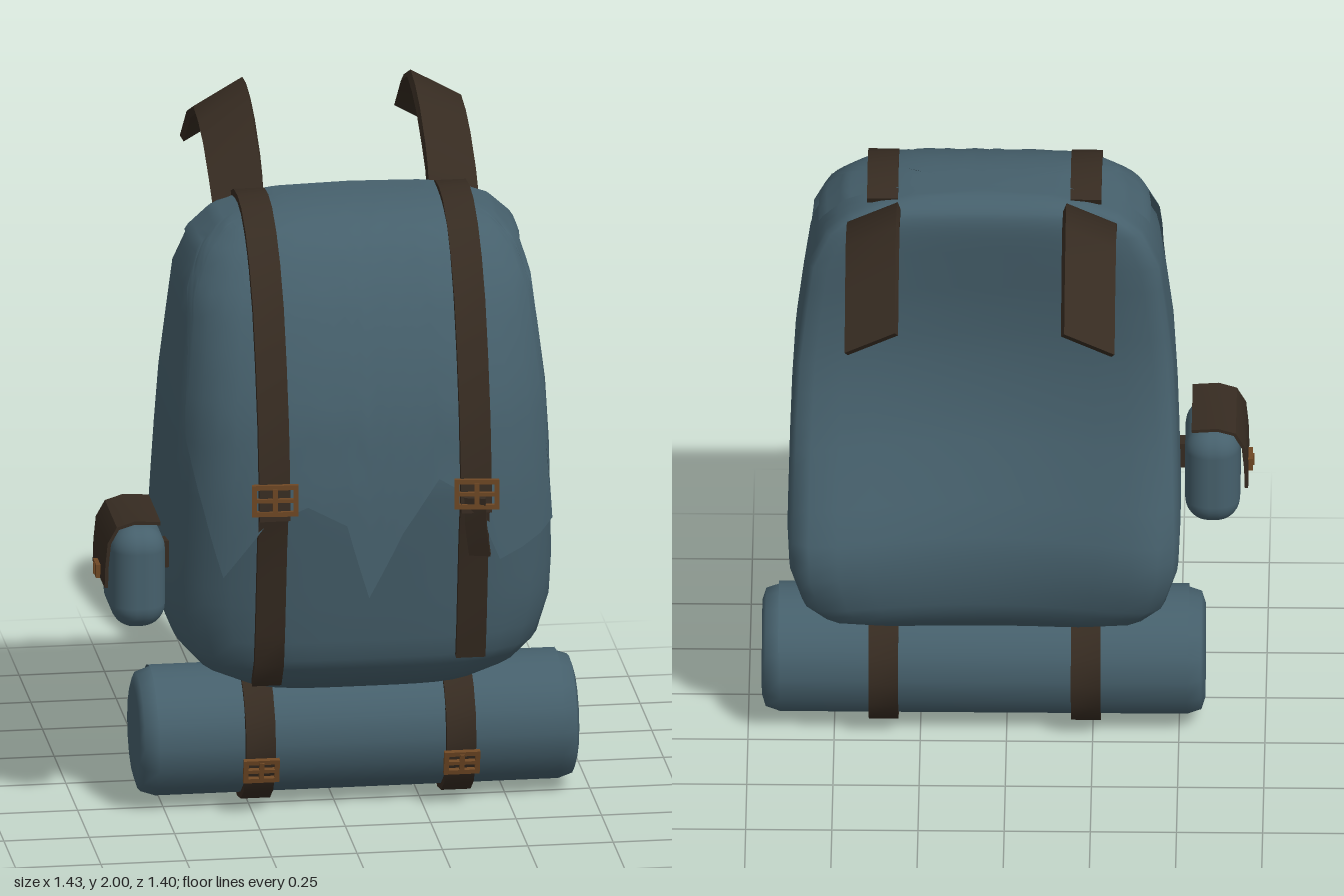
import * as THREE from 'three';
import { mergeVertices, toCreasedNormals } from 'three/addons/utils/BufferGeometryUtils.js';
import { RoundedBoxGeometry } from 'three/addons/geometries/RoundedBoxGeometry.js';

const CX = 0.065, ZC = 0.09; // axis the bag's cross-sections are built around

// bag cross-sections, bottom to top: y, back z, front z, half width, hollow of the back
const ROWS = [
  [0.37, ZC, ZC, 0, 0],
  [0.375, 0.03, 0.33, 0.25, 0],
  [0.40, -0.03, 0.42, 0.37, 0.02],
  [0.45, -0.12, 0.48, 0.47, 0.06],
  [0.52, -0.18, 0.53, 0.53, 0.09],
  [0.64, -0.225, 0.555, 0.565, 0.12],
  [0.75, -0.215, 0.575, 0.57, 0.12],
  [0.95, -0.135, 0.61, 0.565, 0.11],
  [1.10, -0.08, 0.632, 0.56, 0.10],
  [1.28, -0.035, 0.615, 0.55, 0.08],
  [1.45, -0.02, 0.567, 0.53, 0.06],
  [1.60, -0.02, 0.505, 0.51, 0.04],
  [1.71, -0.015, 0.43, 0.46, 0.02],
  [1.77, -0.005, 0.365, 0.39, 0.01],
  [1.80, 0.025, 0.28, 0.30, 0],
  [1.815, 0.06, 0.20, 0.20, 0],
  [1.82, ZC, ZC, 0, 0],
];
const TOP = ROWS.length - 1;

// point on the bag at angle a (0 = left, PI/2 = front) and row position t, pushed out by off
function bagPoint(a, t, off = 0) {
  const i = Math.min(Math.floor(t), TOP - 1), f = t - i;
  const [y, zb, zf, hw, dent] = ROWS[i].map((v, k) => v + (ROWS[i + 1][k] - v) * f);
  const c = Math.cos(a), s = Math.sin(a), e = s > 0 ? 4 : 6; // squarer corners at the back
  const n = Math.pow(Math.abs(c) ** e + Math.abs(s) ** e, 1 / e);
  const X = c / n, Z = s / n;
  let z = ZC + Z * (s > 0 ? zf - ZC : ZC - zb);
  if (s < 0) z += dent * (1 - X * X) * -Z;
  const lift = Math.min(1, Math.max(0, (y - 1.5) / 0.3)), spread = off * Math.min(1, hw / 0.1);
  return [CX + X * (hw + spread), y + off * lift, z + Z * spread];
}

function rowAt(y) {
  let i = 1;
  while (i < TOP - 1 && ROWS[i + 1][0] < y) i++;
  return i + (y - ROWS[i][0]) / (ROWS[i + 1][0] - ROWS[i][0]);
}

// surface from a function of grid indices
function grid(nu, nv, fn) {
  const pos = [], idx = [];
  for (let j = 0; j <= nv; j++) for (let i = 0; i <= nu; i++) pos.push(...fn(i, j));
  for (let j = 0; j < nv; j++) for (let i = 0; i < nu; i++) {
    const a = j * (nu + 1) + i, c = a + nu + 1;
    idx.push(a, c, a + 1, a + 1, c, c + 1);
  }
  let g = new THREE.BufferGeometry();
  g.setAttribute('position', new THREE.Float32BufferAttribute(pos, 3));
  g.setIndex(idx);
  g = mergeVertices(g, 1e-5);
  g.computeVertexNormals();
  return g;
}

// flat band swept along points; side is the half-width vector
function ribbon(points, side, thick) {
  const p = points.map(q => new THREE.Vector3(...q)), S = new THREE.Vector3(...side), n = p.length;
  const corner = [[1, 1], [-1, 1], [-1, -1], [1, -1], [1, 1]];
  return toCreasedNormals(grid(4, n + 1, (i, j) => {
    const k = Math.min(Math.max(j - 1, 0), n - 1);
    if (j === 0 || j === n + 1) return p[k].toArray();
    const T = p[Math.min(k + 1, n - 1)].clone().sub(p[Math.max(k - 1, 0)]);
    const N = S.clone().cross(T).normalize().multiplyScalar(thick / 2);
    return p[k].clone().addScaledVector(S, corner[i][0]).addScaledVector(N, corner[i][1]).toArray();
  }), 0.6);
}

export function createModel() {
  const model = new THREE.Group();
  const std = (name, color) => Object.assign(new THREE.MeshStandardMaterial({ color }), { name });
  const fabric = std('blue canvas', 0x46606c);
  const leather = std('dark leather', 0x362b21);
  const brass = std('aged brass', 0x6f4824);
  fabric.side = THREE.DoubleSide;

  const add = (name, geo, mat, x = 0, y = 0, z = 0, parent = model) => {
    const m = new THREE.Mesh(geo, mat);
    m.name = name;
    m.position.set(x, y, z);
    parent.add(m);
  };

  // main bag
  const SEG = 48;
  add('bag', grid(SEG, TOP * 2, (i, j) => bagPoint((i % SEG) / SEG * Math.PI * 2, j / 2)), fabric);

  // ragged lid: angle and height of its lower edge
  const ang = x => {
    const X = (x - CX) / 0.565;
    return Math.atan2(Math.pow(1 - X ** 4, 0.25), X);
  };
  const edge = [
    [0, 1.70], [0.5, 1.69], [0.62, 1.58], [0.66, 1.25], [0.70, 0.92],
    [ang(0.40), 0.84], [ang(0.34), 1.04], [ang(0.25), 1.10], [ang(0.14), 0.94], [ang(0.05), 0.75],
    [ang(-0.01), 0.97], [ang(-0.12), 1.03], [ang(-0.23), 0.98], [ang(-0.33), 0.81],
    [ang(-0.40), 1.0], [ang(-0.46), 1.2], [Math.PI - 0.62, 1.45], [Math.PI - 0.5, 1.69], [Math.PI, 1.70],
  ];
  const SUB = 3, LIDROWS = 22;
  add('lid', grid((edge.length - 1) * SUB, LIDROWS, (i, j) => {
    const k = Math.min(Math.floor(i / SUB), edge.length - 2), f = i / SUB - k;
    const a = edge[k][0] + (edge[k + 1][0] - edge[k][0]) * f;
    const y = edge[k][1] + (edge[k + 1][1] - edge[k][1]) * f;
    const low = rowAt(y), t = low + (TOP - low) * j / LIDROWS;
    const flare = Math.max(0, 1.12 - bagPoint(a, t)[1]) * 0.2 * Math.sin(a) ** 2;
    return bagPoint(a, t, 0.016 + flare);
  }), fabric);

  // buckle: frame, centre bar and prong
  function buckle(name, w, h, x, y, z, rx = 0, ry = 0) {
    const g = new THREE.Group(), b = 0.014;
    g.name = name;
    for (const s of [-1, 1]) {
      add('buckleSide', new THREE.BoxGeometry(b, h, b), brass, s * (w - b) / 2, 0, 0, g);
      add('buckleBar', new THREE.BoxGeometry(w, b, b), brass, 0, s * (h - b) / 2, 0, g);
    }
    add('buckleCentre', new THREE.BoxGeometry(w, b * 0.8, b), brass, 0, 0, 0, g);
    add('bucklePin', new THREE.BoxGeometry(b, h * 0.8, b), brass, 0, 0, 0.004, g);
    g.position.set(x, y, z);
    g.rotation.set(rx, ry, 0);
    model.add(g);
  }

  // closing straps over the lid and down the front
  const upper = [[0.06, 1.80], [0.12, 1.825], [0.2, 1.832], [0.28, 1.82], [0.37, 1.775], [0.45, 1.705],
    [0.525, 1.6], [0.585, 1.45], [0.635, 1.28], [0.66, 1.12], [0.668, 1.0]];
  const lower = [[0.645, 1.03], [0.612, 0.9], [0.587, 0.75], [0.566, 0.62], [0.543, 0.52], [0.49, 0.445]];
  for (const [x, pts] of [[-0.23, lower], [0.36, lower.slice(0, 5)]]) {
    add('lidStrap', ribbon(upper.map(([z, y]) => [x, y, z]), [0.045, 0, 0], 0.022), leather);
    add('frontStrap', ribbon(pts.map(([z, y]) => [x, y, z]), [0.043, 0, 0], 0.02), leather);
  }
  buckle('leftBuckle', 0.13, 0.09, 0.36, 1.06, 0.682, 0, -0.12);
  buckle('rightBuckle', 0.135, 0.095, -0.23, 1.065, 0.678, 0, -0.08);
  add('strapTail', ribbon([[0.355, 1.05, 0.682], [0.36, 0.96, 0.665], [0.375, 0.86, 0.64]],
    [0.03, 0, 0.008], 0.014), leather);

  // shoulder straps, inner edges raised
  const arch = [[0.02, 1.71], [-0.02, 1.785], [-0.08, 1.835], [-0.2, 1.905], [-0.3, 1.938],
    [-0.4, 1.951], [-0.54, 1.89], [-0.685, 1.768]];
  for (const [x, s] of [[-0.245, 1], [0.383, -1]])
    add('shoulderStrap', ribbon(arch.map(([z, y]) => [x, y, z]), [0.073, s * 0.039, s * -0.008], 0.022), leather);

  // bedroll with the overlapping edge of the cloth
  const v2 = pts => pts.map(p => new THREE.Vector2(...p));
  const RY = 0.208, RZ = 0.175;
  const roll = new THREE.LatheGeometry(v2([[0, -0.643], [0.14, -0.643], [0.174, -0.632], [0.188, -0.59],
    [0.188, 0.59], [0.174, 0.632], [0.14, 0.643], [0, 0.643]]), 16).rotateZ(Math.PI / 2);
  add('bedroll', roll, fabric, 0.0675, RY, RZ);
  const wrap = new THREE.CylinderGeometry(0.194, 0.194, 1.19, 10, 1, true, 0.48, 2.2).rotateZ(Math.PI / 2);
  add('bedrollOverlap', wrap, fabric, 0.0675, RY, RZ);

  // bedroll straps and buckles
  const band = toCreasedNormals(new THREE.LatheGeometry(v2([[0.186, -0.043], [0.208, -0.043],
    [0.208, 0.043], [0.186, 0.043], [0.186, -0.043]]), 16).rotateZ(Math.PI / 2), 0.6);
  for (const x of [-0.23, 0.357]) {
    add('bedrollStrap', band, leather, x, RY, RZ);
    buckle('bedrollBuckle', 0.105, 0.075, x, 0.142, 0.384, 0.25);
  }

  // side pouch with its leather flap
  add('sidePouch', new RoundedBoxGeometry(0.16, 0.305, 0.28, 4, 0.07), fabric, -0.595, 0.762, 0.33);
  add('pouchFlap', ribbon([[-0.535, 0.935], [-0.61, 0.94], [-0.66, 0.925], [-0.685, 0.88], [-0.692, 0.81],
    [-0.694, 0.745]].map(([x, y]) => [x, y, 0.328]), [0, 0, 0.128], 0.01), leather);
  add('pouchTab', new THREE.BoxGeometry(0.035, 0.08, 0.05), leather, -0.51, 0.8, 0.31);
  buckle('pouchBuckle', 0.065, 0.04, -0.704, 0.765, 0.328, 0, -Math.PI / 2);

  return model;
}
